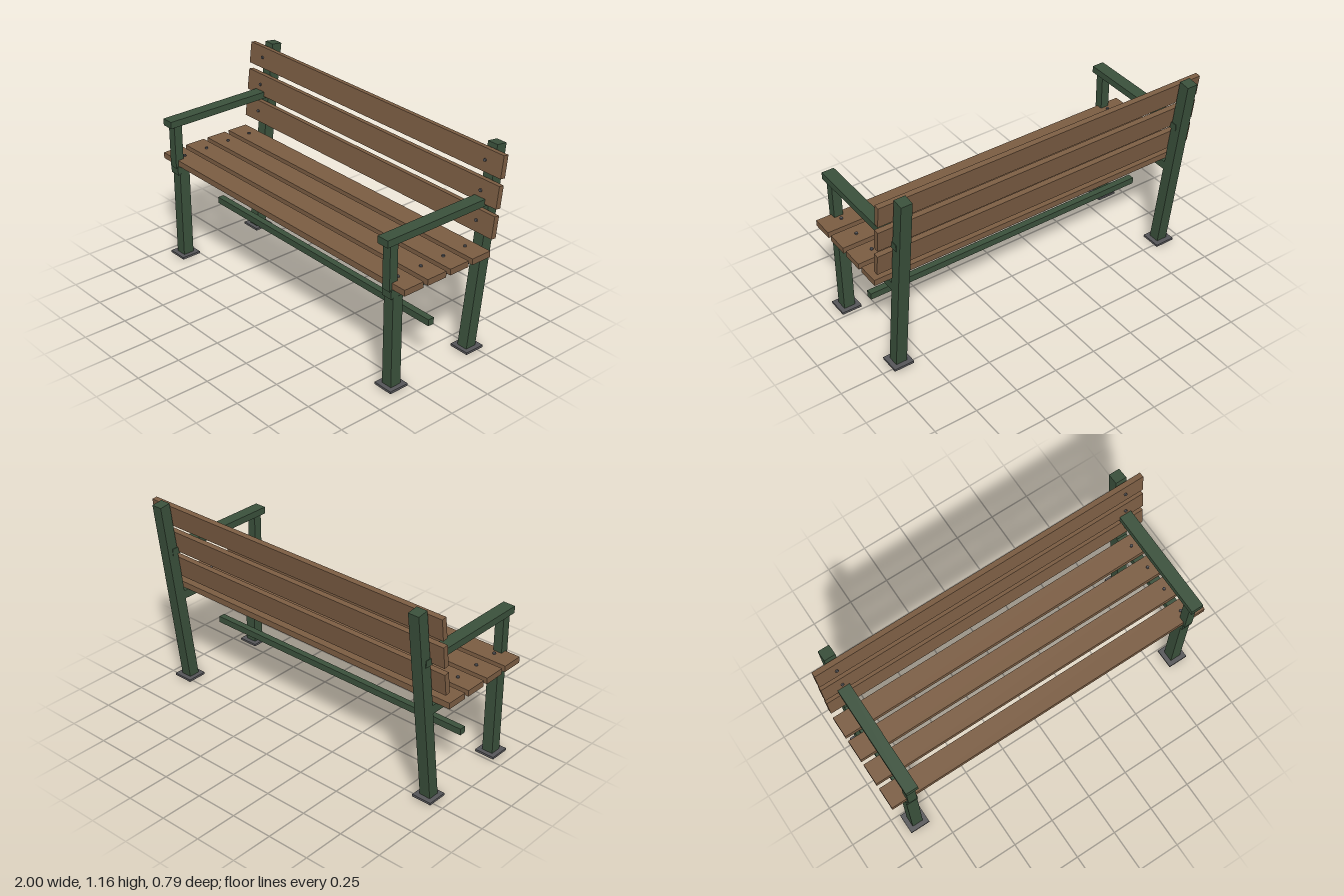
import * as THREE from 'three';

const TILT = -0.128; // backward lean of the backrest
const SIDE = 0.885;  // x of each side frame

function material(name, color) {
  const m = new THREE.MeshStandardMaterial({ color });
  m.name = name;
  return m;
}

export function createModel() {
  const green = material('greenPaint', 0x3a503b);
  const wood = material('brownWood', 0x7a5c42);
  const steel = material('greySteel', 0x555558);
  const model = new THREE.Group();
  model.name = 'parkBench';

  function box(parent, name, mat, size, pos) {
    const mesh = new THREE.Mesh(new THREE.BoxGeometry(...size), mat);
    mesh.name = name;
    mesh.position.set(...pos);
    parent.add(mesh);
    return mesh;
  }

  // A plank with one bolt head over each side frame; local +y is the bolted face
  function plank(name, height, thick) {
    const group = new THREE.Group();
    group.name = name;
    box(group, 'board', wood, [2, thick, height], [0, 0, 0]);
    for (const s of [-1, 1]) {
      const bolt = new THREE.Mesh(new THREE.CylinderGeometry(0.0085, 0.0085, 0.014, 12), steel);
      bolt.name = 'bolt';
      bolt.position.set(s * SIDE, thick / 2 + 0.001, 0);
      group.add(bolt);
    }
    model.add(group);
    return group;
  }

  // Side frames
  for (const s of [-1, 1]) {
    const frame = new THREE.Group();
    frame.name = s > 0 ? 'leftFrame' : 'rightFrame';
    frame.position.x = s * SIDE;
    model.add(frame);
    box(frame, 'frontLeg', green, [0.065, 0.535, 0.065], [0, 0.2775, 0.319]);
    box(frame, 'backPost', green, [0.065, 1.158, 0.065], [0, 0.579, -0.29]).rotation.x = TILT;
    box(frame, 'seatRail', green, [0.064, 0.051, 0.644], [0, 0.5665, 0.042]);
    box(frame, 'armPost', green, [0.052, 0.262, 0.051], [0, 0.714, 0.345]);
    box(frame, 'armrest', green, [0.072, 0.04, 0.727], [0, 0.86, 0.0345]);
    for (const z of [0.319, -0.221]) {
      box(frame, 'footPlate', steel, [0.118, 0.013, 0.118], [0, 0.0145, z]);
    }
  }

  // Stretcher bar
  box(model, 'stretcher', green, [1.77, 0.038, 0.038], [0, 0.272, 0.051]);

  // Seat slats
  for (let i = 0; i < 4; i++) {
    plank('seatSlat', 0.126, 0.035).position.set(0, 0.6115, 0.292 - i * 0.154);
  }

  // Back slats, following the lean of the posts
  for (let i = 0; i < 3; i++) {
    const slat = plank('backSlat', 0.124, 0.031);
    slat.position.set(0, 0.7525 + i * 0.1615, -0.259 - i * 0.0203);
    slat.rotation.x = Math.PI / 2 + TILT;
  }
  return model;
}
